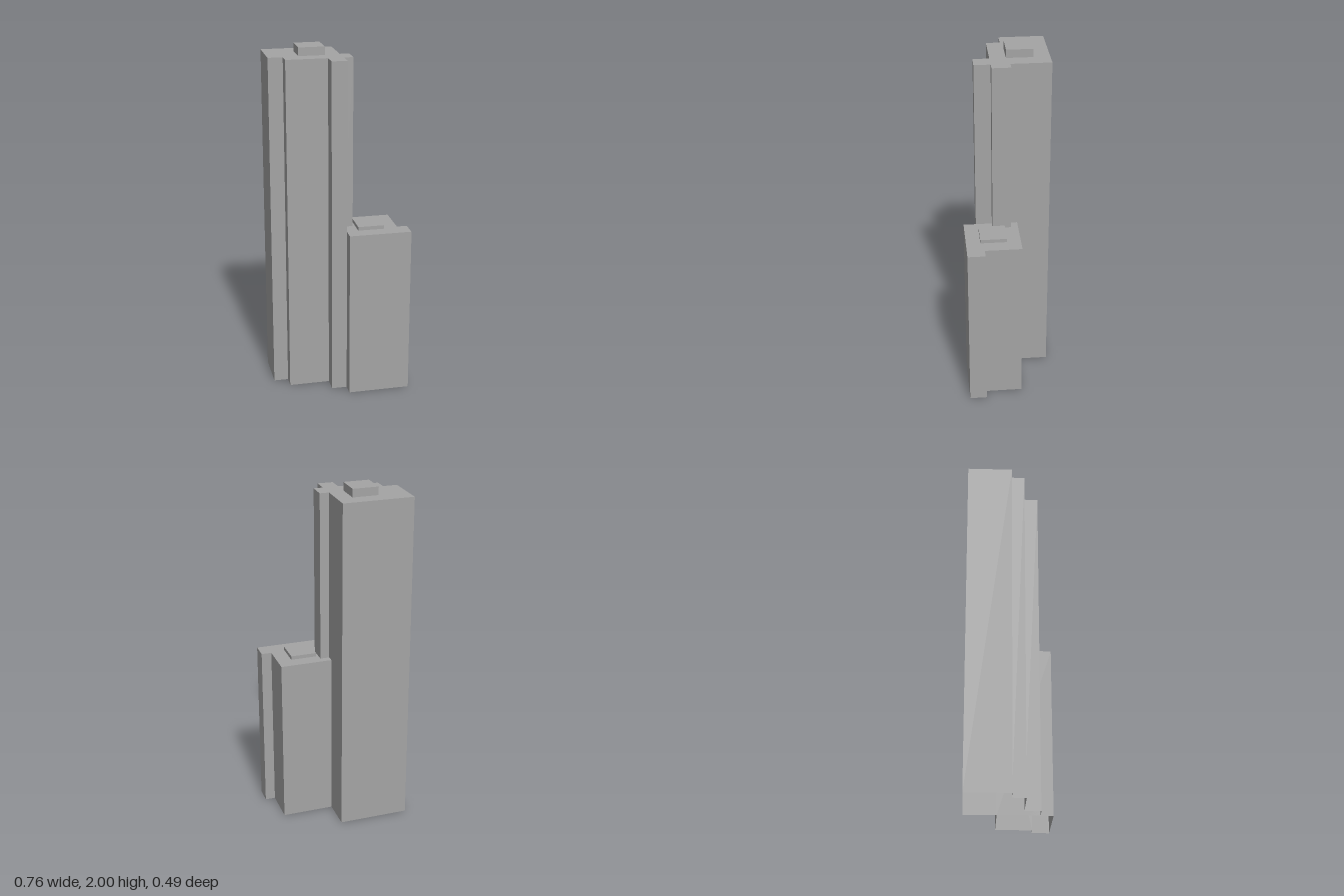
import * as THREE from 'three';

// Prism with walls and a flat roof, open underneath.
// Footprint is a list of [x, z, base]; base raises the foot of the wall that starts there.
function prism(name, footprint, y0, y1, material) {
  const group = new THREE.Group();
  group.name = name;

  // Roof: drawn in (x, -z), then laid flat facing up
  const outline = footprint.map(([x, z]) => new THREE.Vector2(x, -z));
  const roofGeometry = new THREE.ShapeGeometry(new THREE.Shape(outline));
  roofGeometry.rotateX(-Math.PI / 2).translate(0, y1, 0);
  const roof = new THREE.Mesh(roofGeometry, material);
  roof.name = name + 'Roof';

  // Walls: one quad per footprint edge, facing outwards
  const positions = [];
  footprint.forEach(([ax, az, base = y0], i) => {
    const [bx, bz] = footprint[(i + 1) % footprint.length];
    positions.push(bx, base, bz, ax, base, az, ax, y1, az);
    positions.push(bx, base, bz, ax, y1, az, bx, y1, bz);
  });
  const wallGeometry = new THREE.BufferGeometry();
  wallGeometry.setAttribute('position', new THREE.Float32BufferAttribute(positions, 3));
  wallGeometry.computeVertexNormals();
  const walls = new THREE.Mesh(wallGeometry, material);
  walls.name = name + 'Walls';

  group.add(walls, roof);
  return group;
}

// Rectangular footprint, clockwise seen from above
const rect = (x0, x1, z0, z1) => [[x0, z0], [x1, z0], [x1, z1], [x0, z1]];

export function createModel() {
  const concrete = new THREE.MeshStandardMaterial({ color: 0xa4a4a4, side: THREE.DoubleSide });
  concrete.name = 'concrete grey';

  const tallTop = 1.953;
  const shortTop = 0.979;

  // The bay at x = 0.078 stands on the short tower's roof
  const tallFootprint = [
    [-0.381, -0.247], [0.025, -0.247],
    [0.025, -0.022, shortTop], [0.078, -0.022, shortTop], [0.078, 0.084, shortTop],
    [0.025, 0.084], [0.025, 0.176], [-0.063, 0.175],
    [-0.063, 0.084], [-0.298, 0.084], [-0.298, 0.007], [-0.381, 0.007],
  ];
  const shortFootprint = [
    [0.025, -0.062], [0.323, -0.062], [0.323, 0.147],
    [0.381, 0.147], [0.381, 0.247], [0.025, 0.247],
  ];

  const model = new THREE.Group();
  model.name = 'twinTowers';
  model.add(
    prism('tallTower', tallFootprint, 0, tallTop, concrete),
    prism('tallRoofHousing', rect(-0.21, -0.062, -0.155, -0.006), tallTop, 2, concrete),
    prism('shortTower', shortFootprint, 0, shortTop, concrete),
    prism('shortRoofHousing', rect(0.092, 0.241, 0.016, 0.166), shortTop, 1, concrete),
  );
  return model;
}
